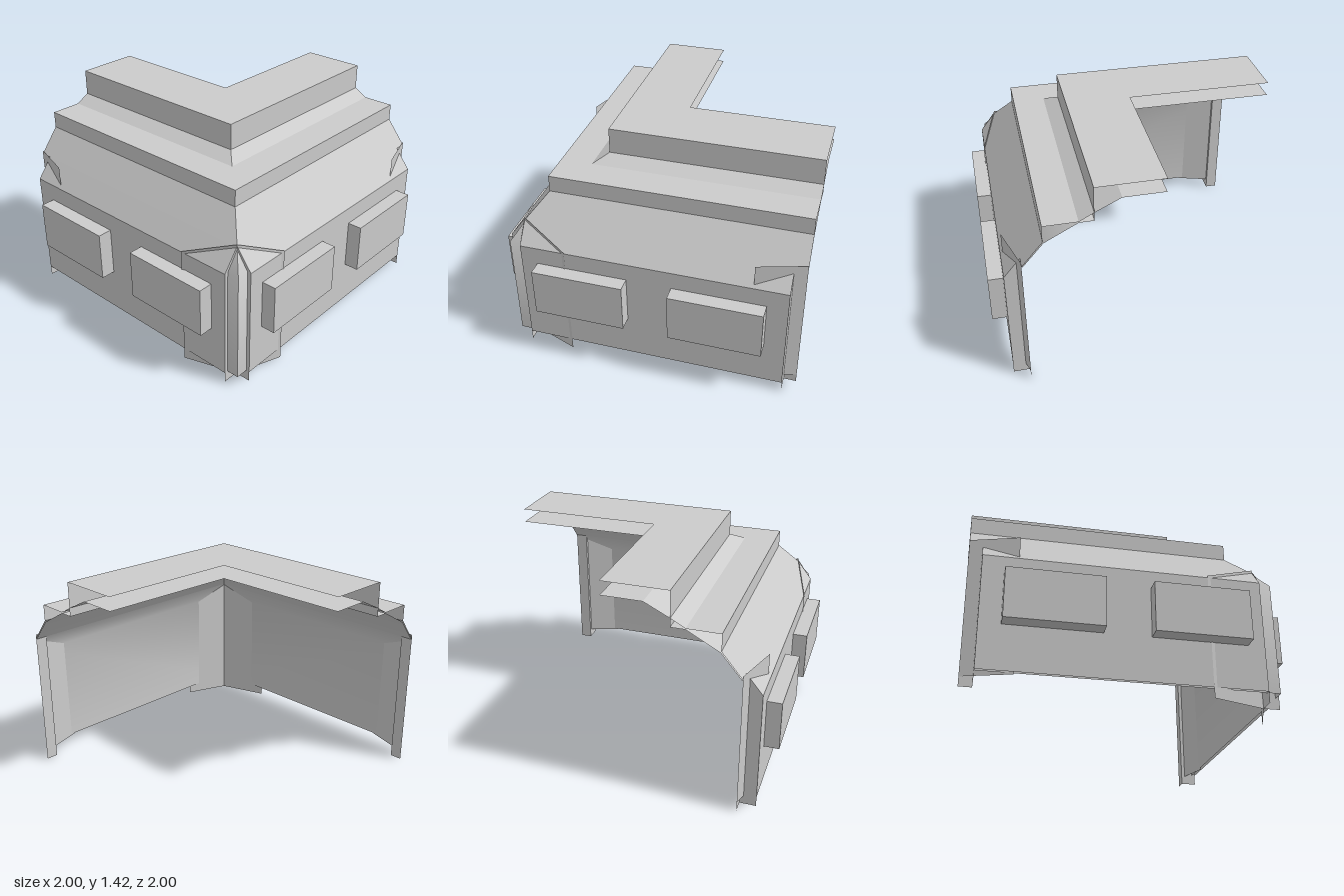
import * as THREE from 'three';
import { mergeVertices, toCreasedNormals } from 'three/addons/utils/BufferGeometryUtils.js';

const material = new THREE.MeshStandardMaterial({ color: 0xcccccc, side: THREE.DoubleSide });

function addMesh(group, name, geometry) {
  const mesh = new THREE.Mesh(geometry, material);
  mesh.name = name;
  group.add(mesh);
}

// Sheet through rows of [depth z, height y, start x, end x]; by default a
// row starts on the mitre (x = -z) and runs to the open end of the wing.
function sheet(rows, crease) {
  const pos = [];
  const ends = rows.map(([z, y, x0 = -z, x1 = 1]) => [[x0, y, z], [x1, y, z]]);
  for (let i = 0; i < ends.length - 1; i++) {
    const [a, b] = ends[i], [d, c] = ends[i + 1];
    pos.push(...a, ...b, ...c, ...a, ...c, ...d);
  }
  const g = new THREE.BufferGeometry();
  g.setAttribute('position', new THREE.Float32BufferAttribute(pos, 3));
  if (crease) return toCreasedNormals(mergeVertices(g), crease);
  g.computeVertexNormals();
  return g;
}

// Upright plate between two plan points, with a top height at each end
function plate([xa, za], [xb, zb], bottom, topA, topB) {
  const p = [[xa, bottom, za], [xb, bottom, zb], [xb, topB, zb], [xa, topA, za]];
  const g = new THREE.BufferGeometry();
  g.setAttribute('position', new THREE.Float32BufferAttribute(p.flat(), 3));
  g.setIndex([0, 1, 2, 0, 2, 3]);
  g.computeVertexNormals();
  return g;
}

function createWing(name, bracketEnd) {
  const wing = new THREE.Group();
  wing.name = name;

  // Outer skin: wall and slope, notched beside the corner and the end
  addMesh(wing, 'outerWall', sheet([
    [0.905, 0.07, -0.8, 0.92], [0.905, 0.8, -0.8, 0.92], [0.8, 0.93, -0.8, 0.92],
  ]));
  // Upper slope, ledge and raised roof
  addMesh(wing, 'outerRoof', sheet([
    [0.8, 0.93], [0.67, 1.09], [0.67, 1.2], [0.46, 1.2],
    [0.37, 1.25], [0.37, 1.42], [-0.05, 1.42],
  ]));

  // Inner skin: smooth wall, then the stepped ceiling
  addMesh(wing, 'innerWall', sheet([
    [0.882, 0.07, -0.882, 0.92], [0.88, 0.8, -0.88, 0.92], [0.795, 0.925, -0.795, 0.92],
  ], 0.9));
  addMesh(wing, 'innerSlope', sheet([[0.795, 0.925], [0.665, 1.082], [0.46, 1.194]], 0.9));
  addMesh(wing, 'ceiling', sheet([
    [0.46, 1.194], [0.37, 1.194], [0.37, 1.25], [0.21, 1.33], [-0.05, 1.33],
  ]));

  // Slanted brackets that pass through the wall
  addMesh(wing, 'cornerBracket', plate([-0.8, 0.8], [bracketEnd, 0.912], 0, 0.95, 0.81));
  addMesh(wing, 'endBracket', plate([0.7, 0.89], [1, 0.8], 0.06, 0.955, 0.955));

  // Folded posts in the notches
  addMesh(wing, 'cornerPost', plate([-0.8, 0.905], [-0.8, 0.8], 0, 0.8, 0.94));
  addMesh(wing, 'endPostSide', plate([0.92, 0.905], [0.92, 0.8], 0, 0.8, 0.93));
  addMesh(wing, 'endPostFace', plate([0.92, 0.8], [1, 0.8], 0, 0.93, 0.93));

  // Raised blocks on the wall
  for (const x of [-0.395, 0.49]) {
    const block = new THREE.BoxGeometry(0.595, 0.325, 0.1);
    block.translate(x, 0.52, 0.95);
    addMesh(wing, 'wallBlock', block);
  }
  return wing;
}

export function createModel() {
  const model = new THREE.Group();
  model.name = 'cornerWall';
  model.add(createWing('frontWing', -0.5));

  // The side wing mirrors the front one across the corner diagonal
  const side = createWing('sideWing', -0.46);
  side.scale.z = -1;
  side.rotation.y = Math.PI / 2;
  model.add(side);
  return model;
}
